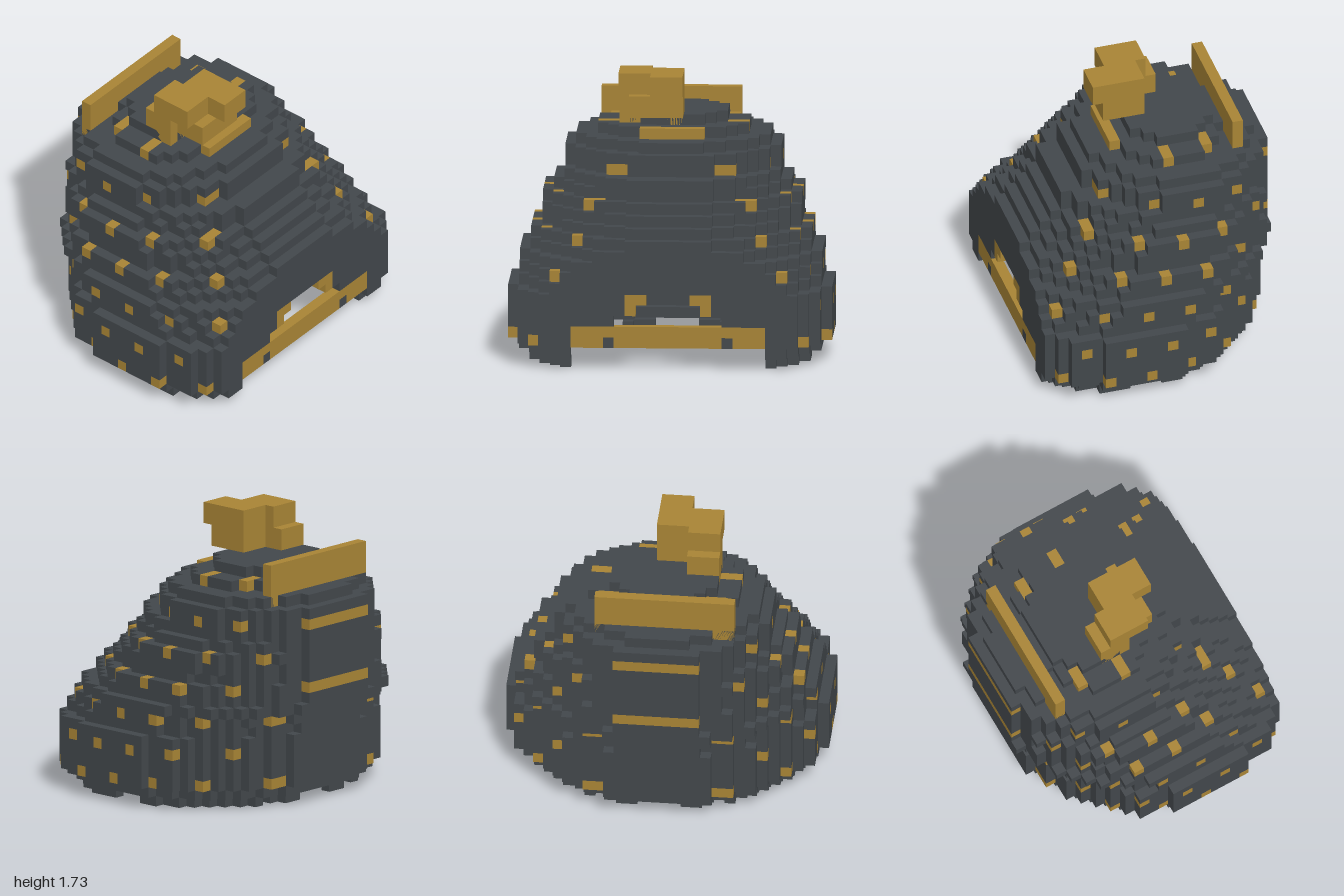
import * as THREE from 'three';

const U = 1 / 15; // voxel edge
const NX = 24, NZ = 30, NY = 22;

// Each layer of the hollow dome is an ellipse, cut flat at i = 24 (voxel units)
const xMin = [3, 2, 1, 1, 1, 1, 1, 1, 1, 0, 0, 0, 0, 0, 0, 0, 0, 0, 0, 1, 4, 5];
const xMax = [27, 28, 29, 29, 29, 29, 29, 28, 27, 26, 25, 24, 23, 22, 21, 20, 20, 18, 18, 17, 15, 13];
const zRad = [13, 14, 15, 15, 15, 15, 15, 14, 14, 14, 13, 13, 12, 12, 12, 11, 10, 10, 10, 9, 7, 5];

function inside(i, j, k) {
  if (j < 0) return inside(i, 0, k); // open underneath
  if (j >= NY || i < 0 || i >= NX) return false;
  const rx = (xMax[j] - xMin[j]) / 2;
  const dx = (i + 0.5 - xMin[j] - rx) / rx;
  const dz = (k + 0.5 - NZ / 2) / zRad[j];
  return dx * dx + dz * dz <= 1.03;
}

const DIRS = [[1, 0, 0], [-1, 0, 0], [0, 1, 0], [0, -1, 0], [0, 0, 1], [0, 0, -1]];

// Opening in the flat side and notches in the bottom edge
function isCut(i, j, k) {
  const z = Math.abs(k + 0.5 - NZ / 2);
  if (i >= 21) {
    if (j < 2) return z < 9;
    if (j === 4) return z < 5;
    if (j === 5) return z < 3;
    if (j === 6) return z < 2;
  }
  return j === 0 && (z < 2 || (z > 5 && z < 6) || (i >= 13 && i <= 15));
}

function isShell(i, j, k) {
  return inside(i, j, k) && !isCut(i, j, k) &&
    DIRS.some(([a, b, c]) => !inside(i + a, j + b, k + c));
}

// Studs lie in staggered rows; gold bars trim the opening
function isGold(i, j, k) {
  if (j % 3 === 2 && i % 4 === (j % 2 ? 0 : 2)) return true;
  if (i !== NX - 1) return false;
  const z = Math.abs(k + 0.5 - NZ / 2);
  if (j === 2) return z < 5 || (z > 6 && z < 9);
  if (j === 3) return z < 9;
  if (j === 5) return z > 3 && z < 4;
  if (j === 6) return z > 2 && z < 4;
  return false;
}

// Joins the exposed faces of a set of voxels into one geometry
function voxelGeometry(cells, filled) {
  const pos = [], nor = [];
  for (const [i, j, k] of cells) {
    const centre = new THREE.Vector3(i + 0.5 - NX / 2, j + 0.5, k + 0.5 - NZ / 2);
    for (const d of DIRS) {
      if (filled(i + d[0], j + d[1], k + d[2])) continue;
      const n = new THREE.Vector3(...d);
      const u = new THREE.Vector3(d[1], d[2], d[0]);
      const v = new THREE.Vector3().crossVectors(n, u);
      for (const [a, b] of [[-1, -1], [1, -1], [1, 1], [-1, -1], [1, 1], [-1, 1]]) {
        const p = centre.clone().addScaledVector(n, 0.5)
          .addScaledVector(u, a / 2).addScaledVector(v, b / 2).multiplyScalar(U);
        pos.push(p.x, p.y, p.z);
        nor.push(...d);
      }
    }
  }
  const g = new THREE.BufferGeometry();
  g.setAttribute('position', new THREE.Float32BufferAttribute(pos, 3));
  g.setAttribute('normal', new THREE.Float32BufferAttribute(nor, 3));
  return g;
}

export function createModel() {
  const model = new THREE.Group();
  model.name = 'studdedHood';
  const slate = new THREE.MeshStandardMaterial({ color: 0x42474b });
  slate.name = 'slate';
  const gold = new THREE.MeshStandardMaterial({ color: 0xa88435 });
  gold.name = 'gold';

  function add(name, geometry, material, parent = model) {
    const mesh = new THREE.Mesh(geometry, material);
    mesh.name = name;
    parent.add(mesh);
    return mesh;
  }

  // Hollow dome and its studs
  const dark = [], studs = [];
  for (let j = 0; j < NY; j++)
    for (let i = 0; i < NX; i++)
      for (let k = 0; k < NZ; k++)
        if (isShell(i, j, k)) (isGold(i, j, k) ? studs : dark).push([i, j, k]);
  add('domeShell', voxelGeometry(dark, isShell), slate);
  add('studsAndTrim', voxelGeometry(studs, isShell), gold);

  // Boxes given by their corners in voxel units from the model centre
  function box(name, a, b, parent) {
    const s = b.map((v, n) => (v - a[n]) * U);
    const mesh = add(name, new THREE.BoxGeometry(...s), gold, parent);
    mesh.position.set(...a.map((v, n) => ((v + b[n]) / 2) * U));
  }

  // Upright crest plate
  box('crestPlate', [-9, 19, -6], [-8, 23, 7]);

  // Blocky ornament on the top
  const ornament = new THREE.Group();
  ornament.name = 'topOrnament';
  model.add(ornament);
  box('ornamentFoot', [-3, 21, 2], [0, 24, 5], ornament);
  box('ornamentBase', [-1, 21, -1], [1, 22, 2], ornament);
  box('ornamentMiddle', [-1, 22, -1], [3, 24, 2], ornament);
  box('ornamentSide', [0, 22, 2], [3, 24, 4], ornament);
  box('ornamentUpperBack', [-1, 24, -1], [4, 26, 2], ornament);
  box('ornamentUpperFront', [-2, 24, 2], [2, 26, 5], ornament);

  return model;
}
